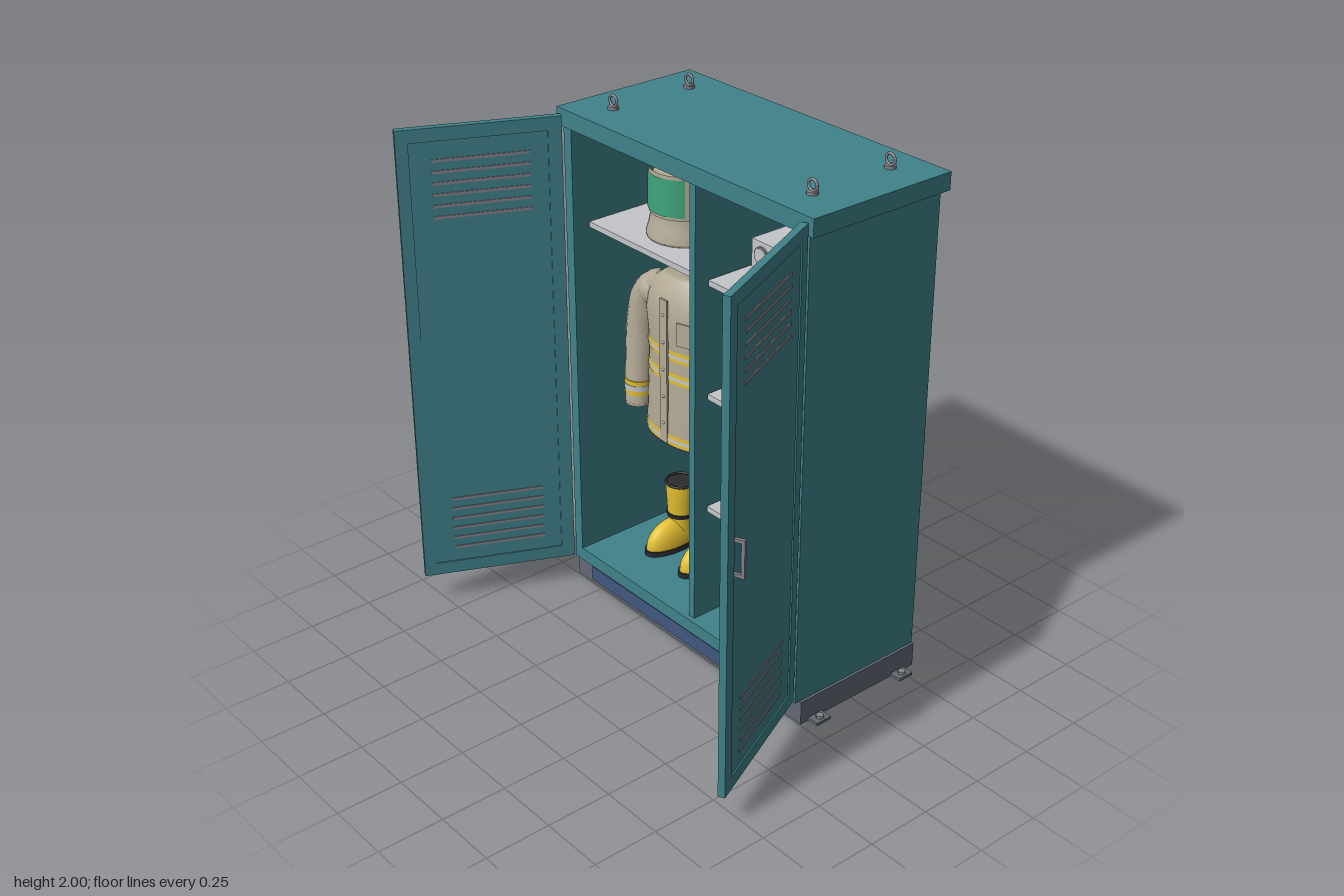
import * as THREE from 'three';

const mat = (name, color) => Object.assign(new THREE.MeshStandardMaterial({ color }), { name });
const teal = mat('tealPaint', 0x40828b), slate = mat('slatePaint', 0x626a75), pale = mat('paleGrey', 0xc4c6ca),
  blue = mat('bluePanel', 0x41587f), beige = mat('beigeCloth', 0xb5ac98), yellow = mat('yellow', 0xe3bf32),
  orange = mat('orangeRubber', 0xdc7a34), black = mat('blackRubber', 0x2b2c2f), green = mat('greenVisor', 0x3fa67c),
  steel = mat('steel', 0x85828a);

function add(parent, name, geo, material, x = 0, y = 0, z = 0) {
  const m = new THREE.Mesh(geo, material);
  m.name = name;
  m.position.set(x, y, z);
  parent.add(m);
  return m;
}
function group(parent, name, x = 0, y = 0, z = 0) {
  const g = new THREE.Group();
  g.name = name;
  g.position.set(x, y, z);
  parent.add(g);
  return g;
}
// box given by its limits
function box(parent, name, material, x0, x1, y0, y1, z0, z1) {
  return add(parent, name, new THREE.BoxGeometry(x1 - x0, y1 - y0, z1 - z0), material,
    (x0 + x1) / 2, (y0 + y1) / 2, (z0 + z1) / 2);
}
const cyl = (r0, r1, h, n = 24) => new THREE.CylinderGeometry(r0, r1, h, n);
const lathe = (pts, n = 32) => new THREE.LatheGeometry(pts.map(p => new THREE.Vector2(p[0], p[1])), n);
const path = pts => new THREE.CatmullRomCurve3(pts.map(p => new THREE.Vector3(...p)));
const tube = (pts, r, n = 24) => new THREE.TubeGeometry(path(pts), n, r, 10);

// linear radius of a [radius, y] profile
function radiusAt(pts, y) {
  for (let i = 1; i < pts.length; i++) {
    const [r0, y0] = pts[i - 1], [r1, y1] = pts[i];
    if (y <= y1) return r0 + (r1 - r0) * Math.max(0, (y - y0) / (y1 - y0));
  }
  return pts[pts.length - 1][0];
}
// tube whose radius changes evenly between the given radii
function taperTube(pts, radii, seg = 24, sides = 16) {
  const curve = path(pts), geo = new THREE.TubeGeometry(curve, seg, 1, sides), p = geo.attributes.position;
  const v = new THREE.Vector3();
  for (let i = 0; i < p.count; i++) {
    const t = Math.floor(i / (sides + 1)) / seg, c = curve.getPointAt(t), k = t * (radii.length - 1);
    const a = Math.min(Math.floor(k), radii.length - 2), r = radii[a] + (radii[a + 1] - radii[a]) * (k - a);
    v.fromBufferAttribute(p, i).sub(c).multiplyScalar(r).add(c);
    p.setXYZ(i, v.x, v.y, v.z);
  }
  return geo;
}

function buildCabinet(root) {
  const g = group(root, 'cabinet');
  box(g, 'plinth', slate, -0.64, 0.64, 0.005, 0.1, -0.56, 0);
  box(g, 'plinthUnderside', black, -0.63, 0.63, 0, 0.005, -0.55, -0.01);
  box(g, 'plinthPanel', blue, -0.545, 0.545, 0.025, 0.085, 0, 0.008);
  box(g, 'floor', teal, -0.63, 0.63, 0.1, 0.152, -0.56, 0.02);
  box(g, 'backWall', teal, -0.63, 0.63, 0.152, 1.88, -0.56, -0.545);
  box(g, 'backLining', slate, -0.588, 0.588, 0.152, 1.88, -0.545, -0.538);
  box(g, 'divider', teal, 0.03, 0.06, 0.152, 1.88, -0.538, 0);
  box(g, 'roof', teal, -0.655, 0.655, 1.88, 1.945, -0.578, 0.03);
  for (const s of [-1, 1]) {
    add(g, 'sideWall', new THREE.BoxGeometry(0.042, 1.728, 0.58), teal, s * 0.609, 1.016, -0.27);
    for (const z of [-0.07, -0.48]) {
      add(g, 'footPlate', new THREE.BoxGeometry(0.06, 0.012, 0.066), slate, s * 0.656, 0.012, z);
      add(g, 'footBolt', cyl(0.015, 0.015, 0.014, 6), steel, s * 0.664, 0.022, z);
    }
    for (const z of [-0.105, -0.45]) {
      add(g, 'eyeBoltBase', cyl(0.02, 0.02, 0.012, 16), steel, s * 0.505, 1.95, z);
      add(g, 'eyeBoltRing', new THREE.TorusGeometry(0.02, 0.005, 8, 24), steel, s * 0.505, 1.975, z);
    }
  }
  // shelves, hanging rail and lamp strip
  box(g, 'shelf', pale, -0.585, 0.015, 1.488, 1.51, -0.538, -0.05);
  for (const y of [1.51, 1.075, 0.62]) box(g, 'shelf', pale, 0.07, 0.585, y - 0.022, y, -0.538, -0.05);
  add(g, 'hangingRail', cyl(0.009, 0.009, 0.61, 12), pale, -0.28, 1.42, -0.25).rotation.z = Math.PI / 2;
  box(g, 'lampStrip', steel, -0.5, 0.02, 1.852, 1.866, -0.2, -0.17);
  box(g, 'lampStrip', steel, 0.07, 0.5, 1.852, 1.866, -0.2, -0.17);
}

function buildDoor(root, s) {
  const g = group(root, s > 0 ? 'leftDoor' : 'rightDoor', s * 0.622, 0, 0.037);
  g.rotation.y = -s * 1.138;
  const L = 0.585, y0 = 0.12, y1 = 1.925;
  // raised rim around a thinner panel; local +z is the inside
  const rim = new THREE.Shape([[0, y0], [L, y0], [L, y1], [0, y1]].map(p => new THREE.Vector2(...p)));
  rim.holes.push(new THREE.Path([[0.045, y0 + 0.05], [0.045, y1 - 0.05], [L - 0.05, y1 - 0.05], [L - 0.05, y0 + 0.05]]
    .map(p => new THREE.Vector2(...p))));
  const rimGeo = new THREE.ExtrudeGeometry(rim, { depth: 0.026, bevelEnabled: false });
  add(g, 'doorRim', rimGeo, teal, s > 0 ? 0 : -L, 0, -0.013);
  add(g, 'doorPanel', new THREE.BoxGeometry(L - 0.08, y1 - y0 - 0.08, 0.016), teal, s * L / 2, (y0 + y1) / 2, 0);
  for (const base of [0.23, 1.59]) for (let i = 0; i < 6; i++)
    add(g, 'ventSlot', new THREE.BoxGeometry(0.35, 0.011, 0.022), steel, s * 0.29, base + i * 0.0425, 0);
  add(g, 'handleGrip', new THREE.BoxGeometry(0.012, 0.14, 0.012), steel, s * 0.53, 1.02, -0.042);
  for (const y of [0.957, 1.083])
    add(g, 'handlePost', new THREE.BoxGeometry(0.012, 0.012, 0.034), steel, s * 0.53, y, -0.025);
  if (s > 0) add(g, 'innerLatch', new THREE.BoxGeometry(0.014, 0.07, 0.04), pale, 0.51, 1.02, 0.025);
}

function buildHood(root) {
  const g = group(root, 'protectiveHood', -0.285, 1.51, -0.25);
  add(g, 'hoodShell', lathe([[0, 0], [0.14, 0], [0.143, 0.012], [0.132, 0.05], [0.122, 0.1], [0.121, 0.17], [0.12, 0.22],
    [0.108, 0.27], [0.083, 0.305], [0.048, 0.327], [0, 0.336]]), beige);
  const plate = (name, m, r, h, a) => {
    const w = add(g, name, new THREE.CylinderGeometry(r, r, h, 24, 1, true, -a, 2 * a), m, 0, 0.18, 0);
    w.scale.z = 1.05;
  };
  plate('visorFrame', beige, 0.127, 0.165, 1.08);
  plate('visor', green, 0.131, 0.14, 0.87);
}

function buildJacket(root) {
  const g = group(root, 'jacket', -0.285, 0, -0.25), flat = 0.56;
  const body = [[0, 0.69], [0.18, 0.69], [0.188, 0.7], [0.182, 0.85], [0.176, 1.0], [0.178, 1.1], [0.188, 1.18],
    [0.178, 1.25], [0.145, 1.31], [0.1, 1.345], [0.083, 1.358], [0.086, 1.41], [0.07, 1.412], [0, 1.39]];
  const outline = body.slice(1);
  add(g, 'jacketBody', lathe(body, 40), beige).scale.z = flat;
  const band = (m, y0, y1, gap) => add(g, 'reflectiveBand', lathe([y0, y1].map(y =>
    [radiusAt(outline, y) + gap, y]), 40), m).scale.z = flat;
  for (const y of [0.705, 0.96, 1.05]) {
    band(yellow, y - 0.006, y + 0.036, 0.003);
    band(pale, y + 0.008, y + 0.022, 0.005);
  }
  for (const s of [-1, 1]) {
    add(g, 'sleeve', taperTube([[s * 0.1, 1.285, 0], [s * 0.19, 1.225, 0], [s * 0.233, 1.1, 0.005], [s * 0.246, 0.93, 0.015],
      [s * 0.243, 0.75, 0.03]], [0.055, 0.07, 0.063, 0.057, 0.051]), beige);
    add(g, 'shoulder', new THREE.SphereGeometry(0.07, 20, 14), beige, s * 0.165, 1.235, 0);
    add(g, 'cuffEnd', cyl(0.051, 0.05, 0.012), beige, s * 0.243, 0.751, 0.03);
    add(g, 'cuffBand', cyl(0.056, 0.055, 0.06), yellow, s * 0.244, 0.82, 0.025);
    add(g, 'cuffStripe', cyl(0.0575, 0.057, 0.022), pale, s * 0.244, 0.82, 0.025);
  }
  // front flap with snaps, chest pocket and hanger hook
  add(g, 'frontFlap', new THREE.BoxGeometry(0.04, 0.58, 0.008), beige, 0, 0.99, 0.104);
  for (let i = 0; i < 5; i++) add(g, 'snap', new THREE.SphereGeometry(0.006, 10, 8), pale, 0, 0.78 + i * 0.11, 0.108);
  add(g, 'chestPocket', new THREE.BoxGeometry(0.07, 0.09, 0.008), beige, 0.1, 1.165, 0.088).rotation.y = 0.35;
  add(g, 'hangerHook', new THREE.TorusGeometry(0.014, 0.004, 8, 20), steel, 0, 1.425, 0).rotation.y = Math.PI / 2;
}

function buildBoot(root, x) {
  const g = group(root, 'boot', x, 0.152, -0.31);
  const sole = add(g, 'bootSole', cyl(0.06, 0.06, 0.02, 32), black, 0, 0.01, 0.045);
  sole.scale.z = 2.15;
  add(g, 'bootFoot', new THREE.SphereGeometry(1, 28, 10, 0, Math.PI * 2, 0, Math.PI / 2), yellow, 0, 0.02, 0.045)
    .scale.set(0.056, 0.1, 0.122);
  add(g, 'bootShaft', lathe([[0.052, 0.02], [0.05, 0.1], [0.056, 0.2], [0.061, 0.272], [0.054, 0.272]]), yellow);
  add(g, 'bootOpening', cyl(0.055, 0.055, 0.004), black, 0, 0.267, 0);
  add(g, 'bootStrap', cyl(0.058, 0.056, 0.016), black, 0, 0.135, 0);
  add(g, 'bootRim', new THREE.TorusGeometry(0.059, 0.005, 8, 28), black, 0, 0.272, 0).rotation.x = Math.PI / 2;
}

// s is the side of the thumb
function buildGlove(root, x, s, hand) {
  const g = group(root, 'glove', x, 1.075, -0.24);
  add(g, 'gloveCuff', lathe([[0, 0], [0.064, 0], [0.066, 0.01], [0.052, 0.08], [0.043, 0.15], [0, 0.155]], 24), orange)
    .scale.z = 0.7;
  add(g, 'palm', lathe([[0.035, 0.14], [0.04, 0.17], [0.045, 0.215], [0.042, 0.24], [0, 0.25]], 24), hand).scale.z = 0.5;
  const tips = [0.285, 0.305, 0.31, 0.295];
  tips.forEach((tip, i) => {
    const k = s * (1.5 - i), h = tip - 0.22;
    const f = add(g, 'finger', new THREE.CapsuleGeometry(0.0095, h - 0.019, 4, 10), hand, k * 0.0235, 0.22 + h / 2, 0);
    f.rotation.z = -k * 0.08;
  });
  add(g, 'thumb', new THREE.CapsuleGeometry(0.011, 0.07, 4, 10), hand, s * 0.048, 0.215, 0.008).rotation.z = -s * 0.45;
}

function buildTank(root, y) {
  const g = group(root, 'airTank', 0.335, y, -0.16);
  g.rotation.z = -Math.PI / 2;
  add(g, 'tankShell', lathe([[0, -0.21], [0.07, -0.21], [0.08, -0.206], [0.085, -0.196], [0.085, 0.196], [0.08, 0.206],
    [0.07, 0.21], [0, 0.21]]), yellow);
  for (const k of [-0.128, 0.128]) {
    add(g, 'tankStrap', cyl(0.088, 0.088, 0.013, 32), black, 0, k, 0);
    add(g, 'strapBuckle', new THREE.BoxGeometry(0.02, 0.018, 0.01), black, 0, k, 0.088);
  }
}

function buildTester(root) {
  const g = group(root, 'breathingUnit', 0, 1.51, -0.28);
  box(g, 'controlBox', pale, 0.12, 0.305, 0.025, 0.13, -0.1, 0.08);
  for (const x of [0.14, 0.285]) for (const z of [-0.08, 0.06]) add(g, 'boxFoot', cyl(0.01, 0.01, 0.025, 12), black, x, 0.0125, z);
  const disc = (name, m, x, y, r) => add(g, name, cyl(r, r, 0.008, 20), m, x, y, 0.083).rotation.x = Math.PI / 2;
  disc('dialRim', steel, 0.172, 0.08, 0.034);
  add(g, 'dialFace', cyl(0.028, 0.028, 0.004), pale, 0.172, 0.08, 0.087).rotation.x = Math.PI / 2;
  disc('greenButton', green, 0.245, 0.1, 0.01);
  disc('orangeButton', orange, 0.275, 0.1, 0.01);
  disc('blackKnob', black, 0.245, 0.06, 0.012);
  disc('blackKnob', black, 0.28, 0.055, 0.012);
  // ribbed canister with a lid
  add(g, 'canisterBase', cyl(0.066, 0.07, 0.018), steel, 0.45, 0.009, 0);
  const ribs = [[0, 0.018]];
  for (let i = 0; i < 9; i++) ribs.push([0.05, 0.018 + i * 0.017], [0.058, 0.027 + i * 0.017]);
  ribs.push([0.05, 0.175], [0, 0.175]);
  add(g, 'canister', lathe(ribs), black, 0.45, 0, 0);
  add(g, 'canisterCap', cyl(0.064, 0.064, 0.025), steel, 0.45, 0.185, 0);
  // hose and mask lying in front
  add(g, 'hose', tube([[0.29, 0.055, 0.085], [0.3, 0.03, 0.12], [0.36, 0.018, 0.14], [0.43, 0.016, 0.12], [0.46, 0.03, 0.05]],
    0.011), black);
  add(g, 'mask', new THREE.SphereGeometry(0.032, 18, 12), black, 0.36, 0.028, 0.1).scale.set(1, 0.85, 1);
  add(g, 'maskRing', new THREE.TorusGeometry(0.018, 0.004, 8, 20), yellow, 0.36, 0.03, 0.131);
}

export function createModel() {
  const root = new THREE.Group();
  root.name = 'equipmentLocker';
  buildCabinet(root);
  for (const s of [-1, 1]) buildDoor(root, s);
  buildHood(root);
  buildJacket(root);
  for (const x of [-0.385, -0.185]) buildBoot(root, x);
  buildGlove(root, 0.215, 1, orange);
  buildGlove(root, 0.435, -1, beige);
  for (const y of [0.24, 0.708]) buildTank(root, y);
  buildTester(root);
  return root;
}
